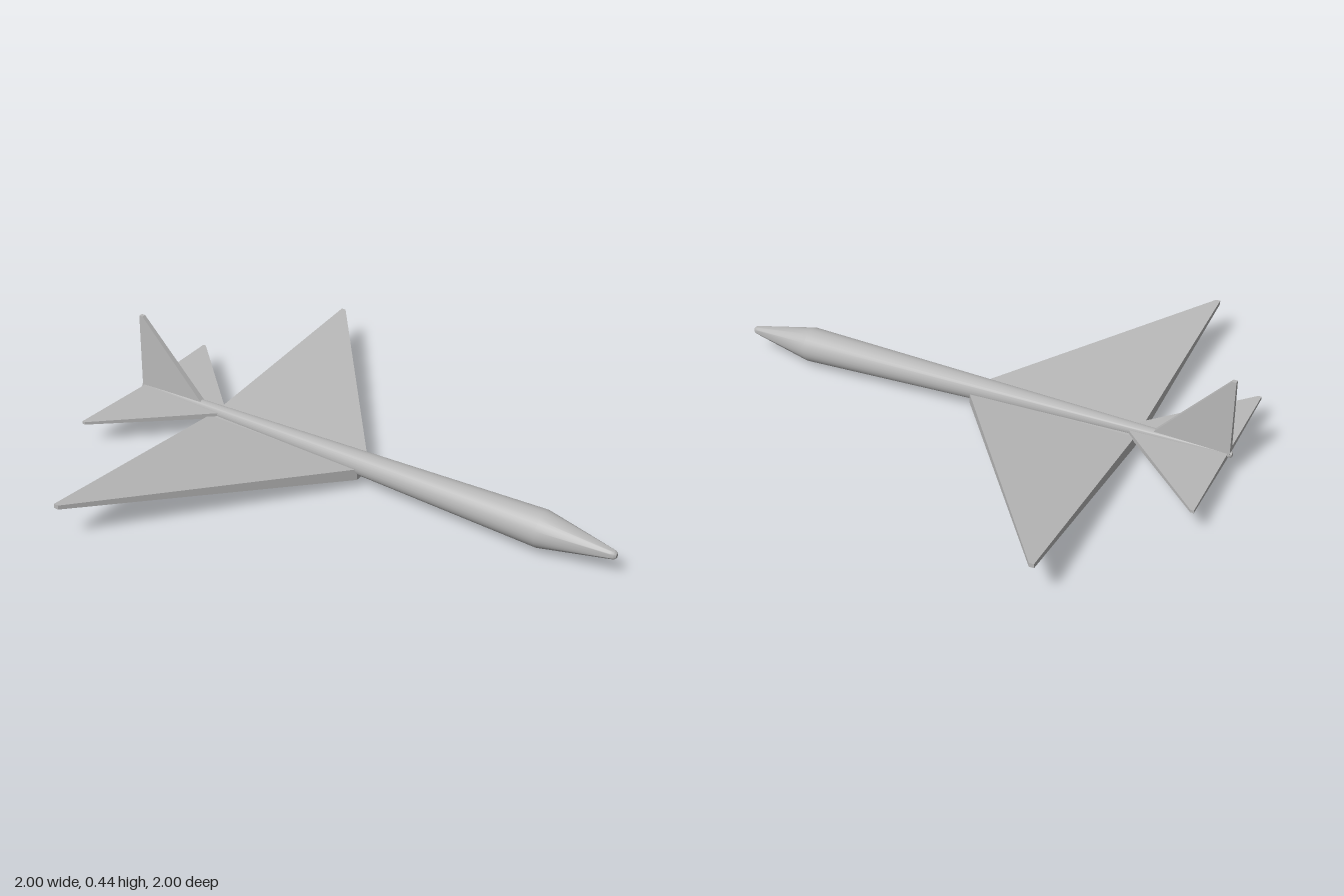
import * as THREE from 'three';
import { toCreasedNormals } from 'three/addons/utils/BufferGeometryUtils.js';

// Skin a row of four-cornered sections into a closed, flat-faced solid
function loft(sections) {
  const pos = [];
  const quad = (a, b, c, d) => pos.push(...a, ...b, ...c, ...a, ...c, ...d);
  for (let k = 0; k < sections.length - 1; k++) {
    const a = sections[k], b = sections[k + 1];
    for (let i = 0; i < 4; i++) {
      const j = (i + 1) % 4;
      quad(a[i], a[j], b[j], b[i]);
    }
  }
  const [s, e] = [sections[0], sections[sections.length - 1]];
  quad(s[3], s[2], s[1], s[0]);
  quad(e[0], e[1], e[2], e[3]);
  const geo = new THREE.BufferGeometry();
  geo.setAttribute('position', new THREE.Float32BufferAttribute(pos, 3));
  geo.computeVertexNormals();
  return geo;
}

// Section standing across x: used for wings
const rib = (x, front, back, bottom, top) =>
  [[x, top, back], [x, top, front], [x, bottom, front], [x, bottom, back]];

// Section lying flat at height y: used for the fin and the belly block
const slab = (y, front, back, half) =>
  [[-half, y, front], [half, y, front], [half, y, back], [-half, y, back]];

// Both wings in one piece, from a root rib and a tip rib
const wingPair = (root, tip) => loft([
  rib(-tip[0], ...tip.slice(1)), rib(-root[0], ...root.slice(1)), rib(...root), rib(...tip),
]);

export function createModel() {
  const grey = new THREE.MeshStandardMaterial({ color: 0xb8b8b8 });
  grey.name = 'grey';

  const aircraft = new THREE.Group();
  aircraft.name = 'aircraft';
  const add = (name, geometry) => {
    const mesh = new THREE.Mesh(geometry, grey);
    mesh.name = name;
    aircraft.add(mesh);
    return mesh;
  };

  // Round body: radius and distance along the length, tail to nose
  const profile = [
    [0, -0.825], [0.01, -0.822], [0.015, -0.81], [0.075, 1.1],
    [0.02, 1.375], [0.017, 1.39], [0.01, 1.398], [0, 1.4],
  ].map(([r, z]) => new THREE.Vector2(r, z));
  const body = new THREE.LatheGeometry(profile, 32);
  body.rotateX(Math.PI / 2);
  add('fuselage', toCreasedNormals(body, 0.6)).position.y = 0.097;

  // Wings: half span, leading edge, trailing edge, bottom, top
  add('mainWing', wingPair([0.04, 0.31, -0.43, 0.04, 0.09], [0.985, -0.41, -0.43, 0.152, 0.17]));
  add('tailplane', wingPair([0.02, -0.39, -0.806, 0.08, 0.104], [0.41, -0.796, -0.81, 0.102, 0.114]));

  // Upright fin
  add('tailFin', loft([slab(0.1, -0.48, -0.815, 0.013), slab(0.437, -0.798, -0.815, 0.009)]));

  // Small block under the wing
  add('bellyBlock', loft([slab(0, 0.01, -0.12, 0.018), slab(0.05, 0.035, -0.147, 0.026)]));

  // The aircraft points diagonally, nose towards +x and +z
  aircraft.rotation.y = Math.PI / 4;
  const model = new THREE.Group();
  model.name = 'model';
  model.add(aircraft);
  return model;
}
